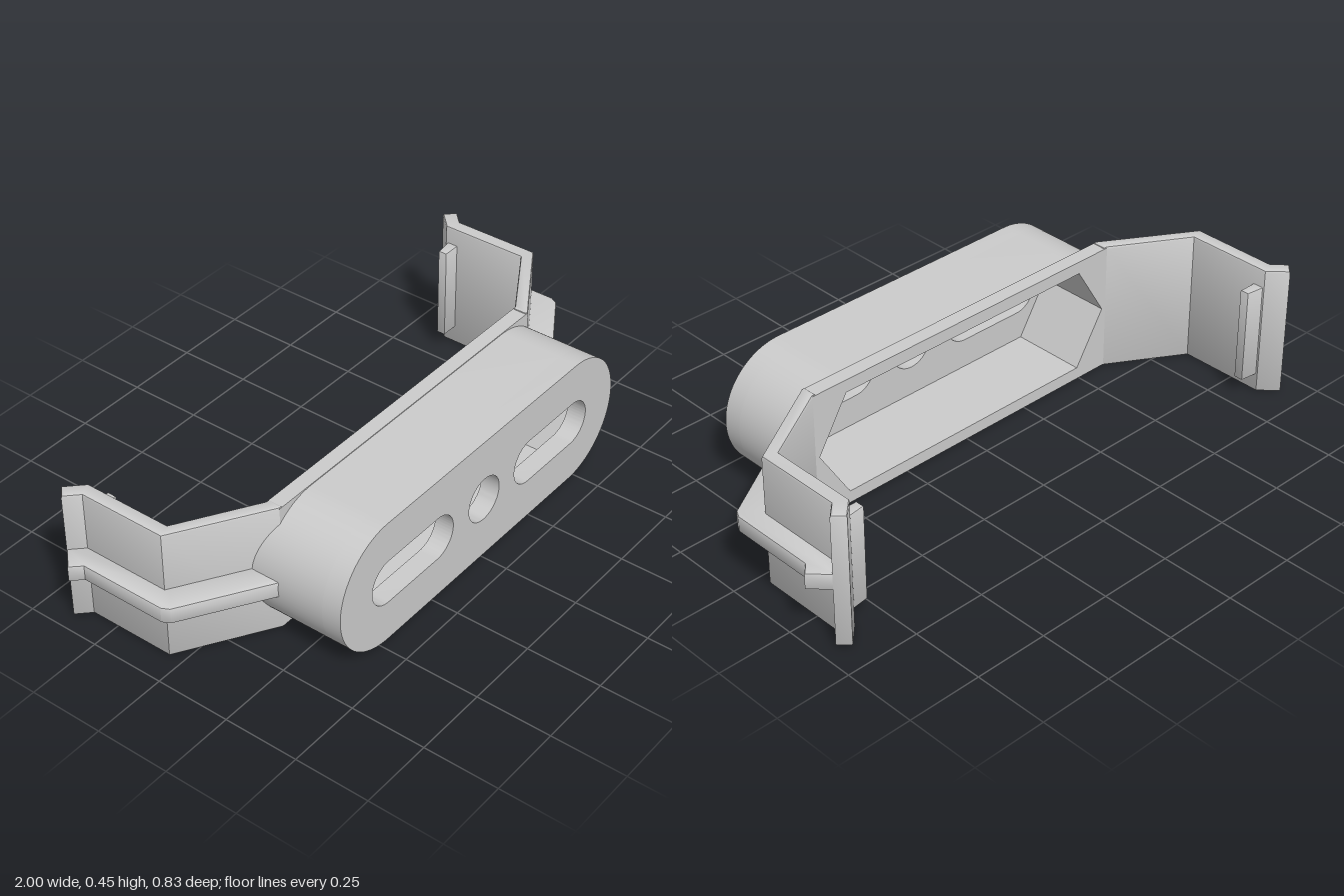
import * as THREE from 'three';
import { toCreasedNormals } from 'three/addons/utils/BufferGeometryUtils.js';

const MID = 0.227; // height of the centre line

export function createModel() {
  const group = new THREE.Group();
  const material = new THREE.MeshStandardMaterial({ color: 0xcccccc });

  const add = (name, geometry) => {
    const mesh = new THREE.Mesh(toCreasedNormals(geometry, 0.5), material);
    mesh.name = name;
    group.add(mesh);
  };

  // Rounded slot outline between two arc centres
  const slot = (x0, x1, r, Type = THREE.Path) => {
    const p = new Type();
    p.absarc(x1, MID, r, -Math.PI / 2, Math.PI / 2);
    p.absarc(x0, MID, r, Math.PI / 2, Math.PI * 1.5);
    p.closePath();
    return p;
  };

  // Outline in x and y pushed from z0 to z1
  const alongZ = (shape, z0, z1) =>
    new THREE.ExtrudeGeometry(shape, { depth: z1 - z0, bevelEnabled: false, curveSegments: 24 })
      .translate(0, 0, z0);

  // Plan outline of [x, z] points raised from y0 to y1 with softened edges
  const alongY = (points, y0, y1, side, bevel = 0.008) => {
    const shape = new THREE.Shape(points.map(([x, z]) => new THREE.Vector2(side * x, -z)));
    return new THREE.ExtrudeGeometry(shape, {
      depth: y1 - y0 - 2 * bevel, bevelThickness: bevel, bevelSize: bevel,
      bevelOffset: -bevel, bevelSegments: 2,
    }).rotateX(-Math.PI / 2).translate(0, y0 + bevel, 0);
  };

  // Six-sided pocket behind the front plate
  const pocket = () => new THREE.Path([
    [0.595, 0], [0.485, 0.178], [-0.485, 0.178], [-0.595, 0], [-0.485, -0.178], [0.485, -0.178],
  ].map(([x, y]) => new THREE.Vector2(x, MID + y)));

  // Hollow body
  const shell = slot(-0.469, 0.469, 0.218, THREE.Shape);
  shell.holes.push(pocket());
  add('bodyShell', alongZ(shell, 0.09, 0.345));

  // Front plate with a round hole and two slots
  const plate = slot(-0.469, 0.469, 0.218, THREE.Shape);
  const hole = new THREE.Path();
  hole.absarc(0, MID, 0.077, 0, Math.PI * 2);
  plate.holes.push(hole, slot(-0.465, -0.232, 0.077), slot(0.232, 0.465, 0.077));
  add('frontPlate', alongZ(plate, 0.345, 0.41));

  // Rectangular rim around the pocket opening
  const rim = new THREE.Shape([[-0.61, 0.007], [0.61, 0.007], [0.61, 0.448], [-0.61, 0.448]]
    .map(([x, y]) => new THREE.Vector2(x, y)));
  rim.holes.push(pocket());
  add('backRim', alongZ(rim, 0.085, 0.135));

  for (const [side, label] of [[1, 'left'], [-1, 'right']]) {
    // Bent arm with a flared tip
    add(label + 'Arm', alongY([
      [0.598, 0.086], [0.61, 0.085], [0.857, -0.064], [0.857, -0.362], [0.912, -0.417],
      [0.946, -0.384], [0.904, -0.342], [0.904, -0.046], [0.61, 0.135], [0.598, 0.135],
    ], 0.002, 0.453, side));

    // Stiffening rib along the outside of the arm
    add(label + 'Rib', alongY([
      [0.61, 0.12], [0.62, 0.2], [0.665, 0.2], [0.955, 0.02], [0.968, -0.005], [0.968, -0.296],
      [1.0, -0.33], [0.94, -0.389], [0.88, -0.34], [0.88, -0.045],
    ], 0.2, 0.255, side, 0.005));

    // Catch on the inside of the arm
    add(label + 'Catch', alongY([
      [0.875, -0.318], [0.797, -0.318], [0.797, -0.348], [0.875, -0.358],
    ], 0.065, 0.39, side, 0.004));
  }
  return group;
}
